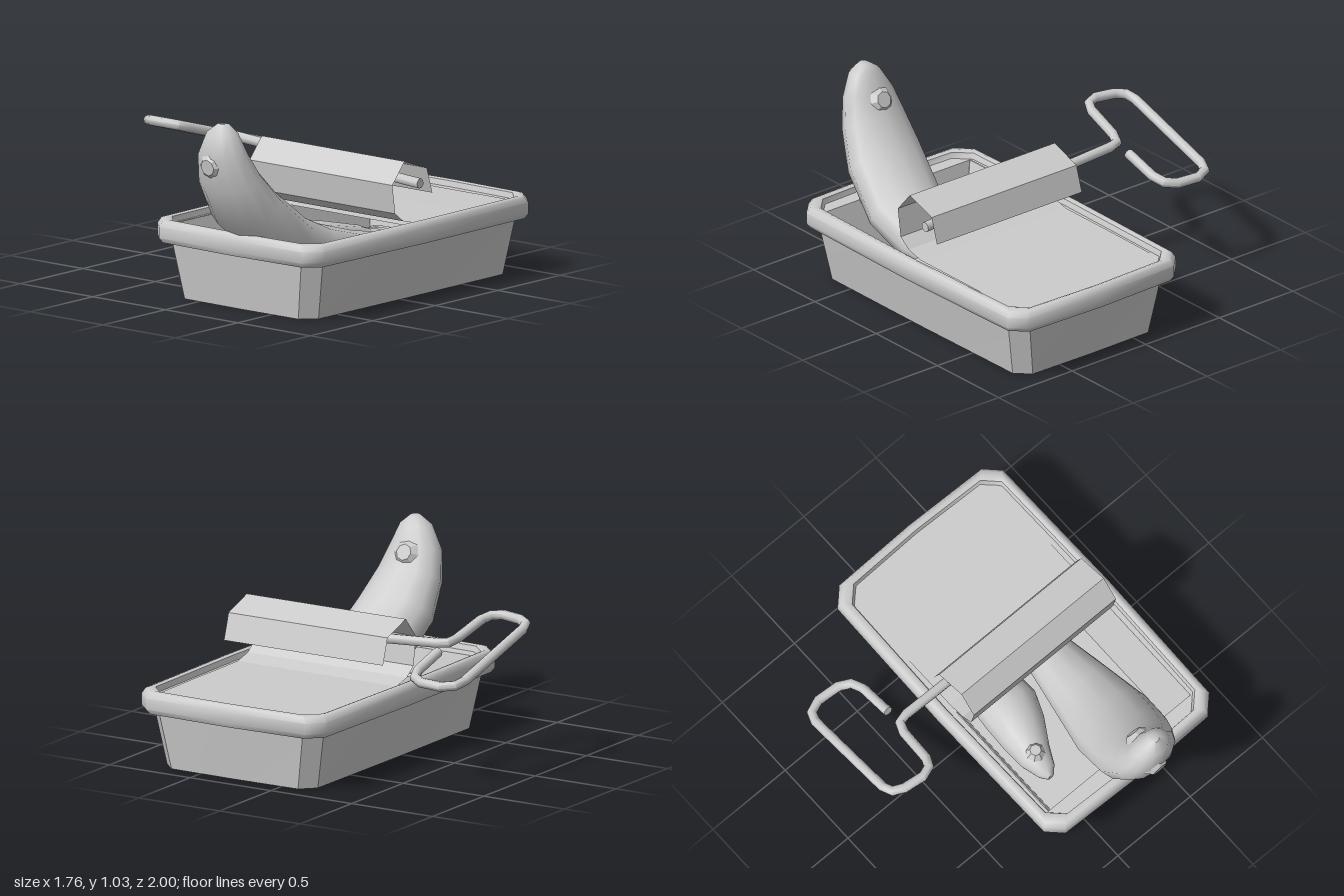
import * as THREE from 'three';
import { toCreasedNormals } from 'three/addons/utils/BufferGeometryUtils.js';

const CX = 0.29, CZ = -0.085; // centre of the tin
const V = (x, y, z) => new THREE.Vector3(x, y, z);
const mat = () => new THREE.MeshStandardMaterial({ color: 0xcccccc, side: THREE.DoubleSide });

function addMesh(parent, name, geometry) {
  const mesh = new THREE.Mesh(geometry, mat());
  mesh.name = name;
  parent.add(mesh);
  return mesh;
}

// Skin a list of closed rings that have equal point counts
function skin(rings, crease) {
  const n = rings[0].length, pos = [], index = [];
  rings.forEach(r => r.forEach(p => pos.push(p.x, p.y, p.z)));
  for (let i = 0; i < rings.length - 1; i++) {
    for (let j = 0; j < n; j++) {
      const k = (j + 1) % n;
      const a = i * n + j, b = i * n + k, c = b + n, d = a + n;
      index.push(a, b, c, a, c, d);
    }
  }
  const g = new THREE.BufferGeometry();
  g.setAttribute('position', new THREE.Float32BufferAttribute(pos, 3));
  g.setIndex(index);
  return toCreasedNormals(g, crease);
}

// Rectangle with cut corners (c) and slightly bulging sides (b)
function tinRing([hx, hz, y, c = 0.08, b = 0.013]) {
  const x = hx - b, z = hz - b;
  return [
    [hx, 0], [x, -z + c], [x - c, -z], [0, -hz], [-x + c, -z], [-x, -z + c],
    [-hx, 0], [-x, z - c], [-x + c, z], [0, hz], [x - c, z], [x, z - c],
  ].map(([px, pz]) => V(CX + px, y, CZ + pz));
}

// Sweep an ellipse along a path; n is the fixed cross axis, radii are [along n, across n]
function sweep(path, n, radii, sides, crease) {
  const rings = path.map((p, i) => {
    const t = path[Math.min(i + 1, path.length - 1)].clone().sub(path[Math.max(i - 1, 0)]);
    const s = t.cross(n).normalize();
    const [ra, rb] = radii(i);
    return Array.from({ length: sides }, (_, j) => {
      const a = j / sides * Math.PI * 2;
      return p.clone().addScaledVector(n, ra * Math.cos(a)).addScaledVector(s, rb * Math.sin(a));
    });
  });
  const cap = p => Array.from({ length: sides }, () => p.clone());
  return skin([cap(path[0]), ...rings, cap(path[path.length - 1])], crease);
}

// Fish from stations of [x, y, z, half width, half thickness]; eyes are [position, facing]
function makeFish(name, stations, eyes, eyeRadius) {
  const fish = new THREE.Group();
  fish.name = name;
  const path = stations.map(s => V(s[0], s[1], s[2]));
  addMesh(fish, 'fishBody', sweep(path, V(1, 0, 0), i => [stations[i][3], stations[i][4]], 12, 0.9));
  eyes.forEach(([p, dir]) => {
    const eye = addMesh(fish, 'fishEye',
      toCreasedNormals(new THREE.CylinderGeometry(eyeRadius * 0.55, eyeRadius, 0.035, 8), 0.3));
    eye.position.copy(p);
    eye.quaternion.setFromUnitVectors(V(0, 1, 0), dir.normalize());
  });
  return fish;
}

export function createModel() {
  const model = new THREE.Group();
  model.name = 'openFishTin';

  // Tin: outer shell, rounded rim and inner tray
  const tin = new THREE.Group();
  tin.name = 'tin';
  model.add(tin);
  addMesh(tin, 'tinBody', skin([
    [0.001, 0.001, 0.004, 0, 0], [0.472, 0.817, 0, 0.075, 0.005], [0.54, 0.865, 0.32],
  ].map(tinRing), 0.3));
  addMesh(tin, 'rim', skin([
    [0.535, 0.86, 0.305], [0.57, 0.9, 0.3], [0.586, 0.913, 0.325], [0.586, 0.913, 0.385],
    [0.57, 0.898, 0.415], [0.55, 0.878, 0.422], [0.532, 0.86, 0.415], [0.523, 0.852, 0.385],
  ].map(tinRing), 0.8));
  addMesh(tin, 'innerTray', skin([
    [0.492, 0.765, 0.385, 0.001, 0], [0.395, 0.685, 0.03, 0.001, 0], [0.001, 0.001, 0.03, 0, 0],
  ].map(tinRing), 0.3));

  // Lid: flat plate with the opened part cut out
  const outline = tinRing([0.527, 0.856, 0]).map(p => new THREE.Vector2(p.x, -p.z));
  const plate = new THREE.Shape(outline);
  plate.holes.push(new THREE.Path([[-0.205, 0.05], [0.78, 0.05], [0.78, -0.68], [-0.205, -0.68]]
    .map(([x, y]) => new THREE.Vector2(x, y))));
  addMesh(tin, 'lidPlate', new THREE.ShapeGeometry(plate).rotateX(-Math.PI / 2).translate(0, 0.385, 0));

  // Peeled lid: a strip bent through [z, y] points
  const bend = [[-0.89, 0.387], [-0.5, 0.392], [-0.1, 0.394], [0, 0.42], [0.065, 0.47],
    [0.088, 0.625], [-0.01, 0.738], [-0.188, 0.675], [-0.232, 0.535]];
  const strip = new THREE.PlaneGeometry(0.985, 1, 1, bend.length - 1);
  const sp = strip.attributes.position;
  for (let i = 0; i < sp.count; i++) {
    const [z, y] = bend[Math.floor(i / 2)];
    sp.setXYZ(i, sp.getX(i) + 0.2875, y, z);
  }
  addMesh(tin, 'peeledLid', toCreasedNormals(strip, 0.1));

  // Winding key: one bent rod in a tilted plane, given as [x, z]
  const slope = 0.293;
  const keyPath = [
    [0.78, -0.135], [-0.48, -0.135], [-0.535, -0.12], [-0.56, -0.06], [-0.58, 0.14], [-0.605, 0.19],
    [-0.665, 0.212], [-0.78, 0.195], [-0.835, 0.165], [-0.853, 0.11], [-0.842, -0.44], [-0.82, -0.495],
    [-0.75, -0.525], [-0.62, -0.515], [-0.56, -0.48], [-0.535, -0.41], [-0.535, -0.215],
  ].map(([x, z], i) => V(x, i === 0 ? 0.6 : 0.715 + slope * z, z));
  addMesh(model, 'windingKey',
    sweep(keyPath, V(0, 1, -slope).normalize(), () => [0.027, 0.027], 8, 0.85));

  // Large fish rising out over the front edge
  model.add(makeFish('largeFish', [
    [0.325, 1.025, 0.91, 0.03, 0.03], [0.32, 0.98, 0.915, 0.09, 0.07], [0.31, 0.86, 0.9, 0.15, 0.1],
    [0.315, 0.72, 0.85, 0.19, 0.125], [0.335, 0.55, 0.74, 0.225, 0.15], [0.375, 0.36, 0.52, 0.23, 0.15],
    [0.4, 0.26, 0.28, 0.19, 0.14], [0.41, 0.22, 0, 0.14, 0.1], [0.41, 0.2, -0.3, 0.07, 0.06],
    [0.41, 0.2, -0.42, 0.06, 0.03], [0.41, 0.2, -0.62, 0.15, 0.01],
  ], [[V(0.29, 0.8, 0.983), V(0, -0.15, 1)], [V(0.305, 0.85, 0.785), V(0, 0.4, -0.9)]], 0.08));

  // Small fish lying in the tin
  model.add(makeFish('smallFish', [
    [-0.03, 0.22, 0.5, 0.02, 0.02], [-0.025, 0.22, 0.46, 0.055, 0.05], [-0.015, 0.23, 0.36, 0.095, 0.09],
    [0.025, 0.23, 0.22, 0.14, 0.12], [0.06, 0.21, 0.08, 0.165, 0.13], [0.07, 0.19, -0.15, 0.15, 0.11],
    [0.08, 0.17, -0.45, 0.07, 0.06], [0.08, 0.17, -0.53, 0.05, 0.03], [0.08, 0.17, -0.7, 0.12, 0.01],
  ], [[V(-0.02, 0.32, 0.365), V(0, 1, 0.1)], [V(-0.02, 0.14, 0.365), V(0, -1, 0.1)]], 0.055));

  return model;
}
